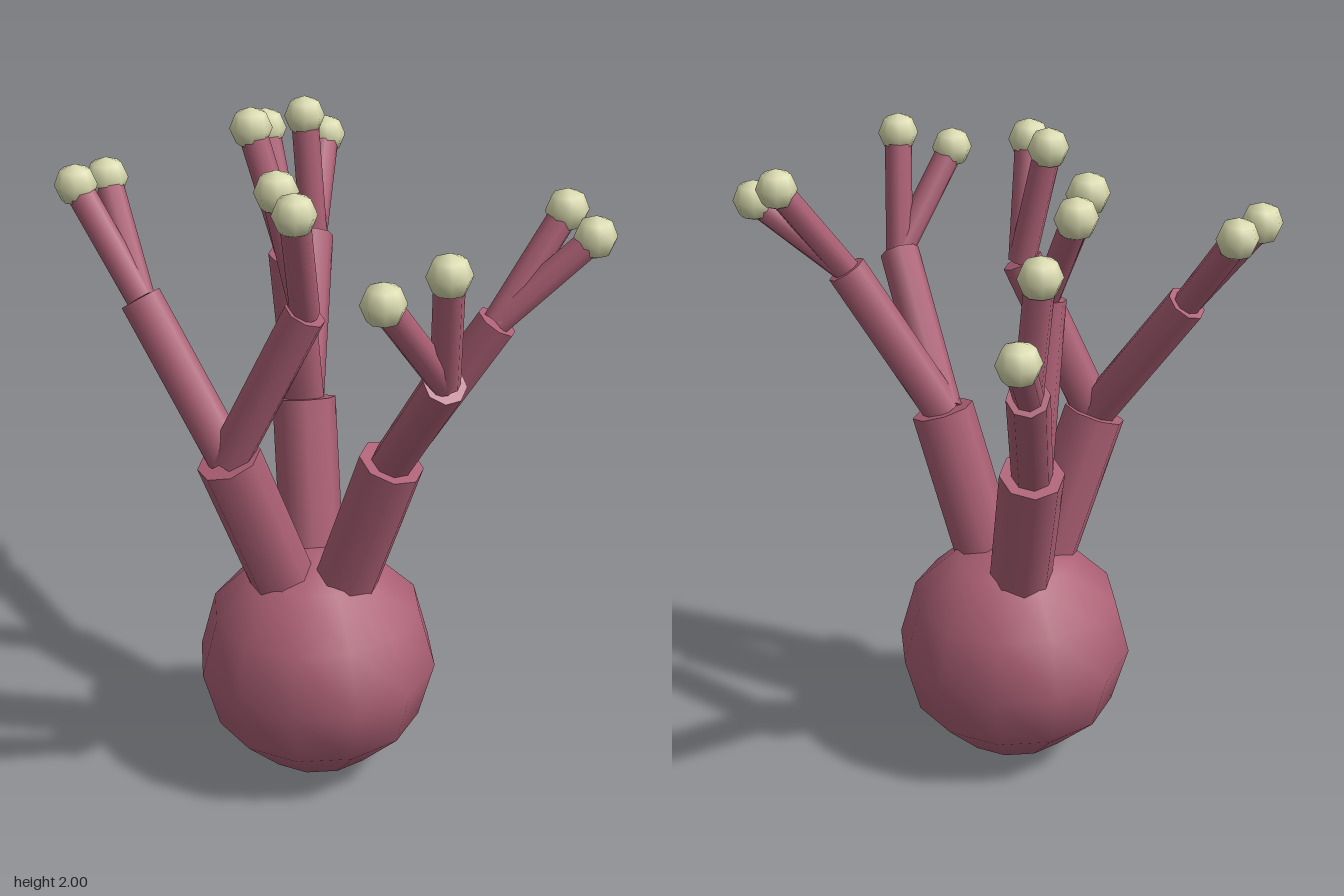
import * as THREE from 'three';

const V = (p) => new THREE.Vector3(...p);

export function createModel() {
  const model = new THREE.Group();
  model.name = 'branchingPolyp';

  const flesh = new THREE.MeshStandardMaterial({ color: 0xac6075 });
  flesh.name = 'dusty rose';
  const cream = new THREE.MeshStandardMaterial({ color: 0xd9daae });
  cream.name = 'pale cream';

  const add = (parent, name, geometry, material, position) => {
    const mesh = new THREE.Mesh(geometry, material);
    mesh.name = name;
    mesh.position.copy(position);
    parent.add(mesh);
    return mesh;
  };

  // Eight-sided stem running from one point to another
  const stem = (parent, name, from, to, radius) => {
    const dir = to.clone().sub(from);
    const geometry = new THREE.CylinderGeometry(radius, radius, dir.length(), 8);
    const mesh = add(parent, name, geometry, flesh, from.clone().add(to).multiplyScalar(0.5));
    mesh.quaternion.setFromUnitVectors(new THREE.Vector3(0, 1, 0), dir.normalize());
  };

  // Round body
  const centre = V([-0.037, 0.366, 0.166]);
  add(model, 'body', new THREE.SphereGeometry(0.361, 12, 6), flesh, centre);

  // Each arm forks into two branches, and each branch into two tipped twigs
  const arms = [
    { name: 'leftArm', end: [0.228, 1.1, 0.14], branches: [
      { end: [0.465, 1.545, -0.015], tips: [[0.545, 1.83, -0.208], [0.64, 1.775, -0.207]] },
      { end: [0.53, 1.49, 0.295], tips: [[0.6, 1.835, 0.377], [0.5, 1.775, 0.512]] },
    ] },
    { name: 'frontArm', end: [-0.137, 1.1, 0.42], branches: [
      { end: [0.07, 1.57, 0.32], tips: [[0.016, 1.915, 0.366], [0.14, 1.9, 0.435]] },
      { end: [-0.425, 1.525, 0.455], tips: [[-0.64, 1.805, 0.357], [-0.64, 1.815, 0.475]] },
    ] },
    { name: 'backArm', end: [-0.24, 1.1, -0.018], branches: [
      { end: [-0.205, 1.605, 0.075], tips: [[-0.375, 1.91, -0.02], [-0.34, 1.943, 0.077]] },
      { end: [-0.425, 1.5, -0.28], tips: [[-0.577, 1.725, -0.515], [-0.476, 1.858, -0.303]] },
    ] },
  ];

  const ball = new THREE.SphereGeometry(0.061, 8, 4);
  for (const arm of arms) {
    const group = new THREE.Group();
    group.name = arm.name;
    model.add(group);
    const fork = V(arm.end);
    stem(group, 'trunk', centre.clone().lerp(fork, 0.35), fork, 0.095);
    for (const branch of arm.branches) {
      const end = V(branch.end);
      stem(group, 'branch', fork, end, 0.06);
      for (const p of branch.tips) {
        const tip = V(p);
        stem(group, 'twig', end, tip, 0.041);
        add(group, 'tip', ball, cream, tip);
      }
    }
  }
  return model;
}
